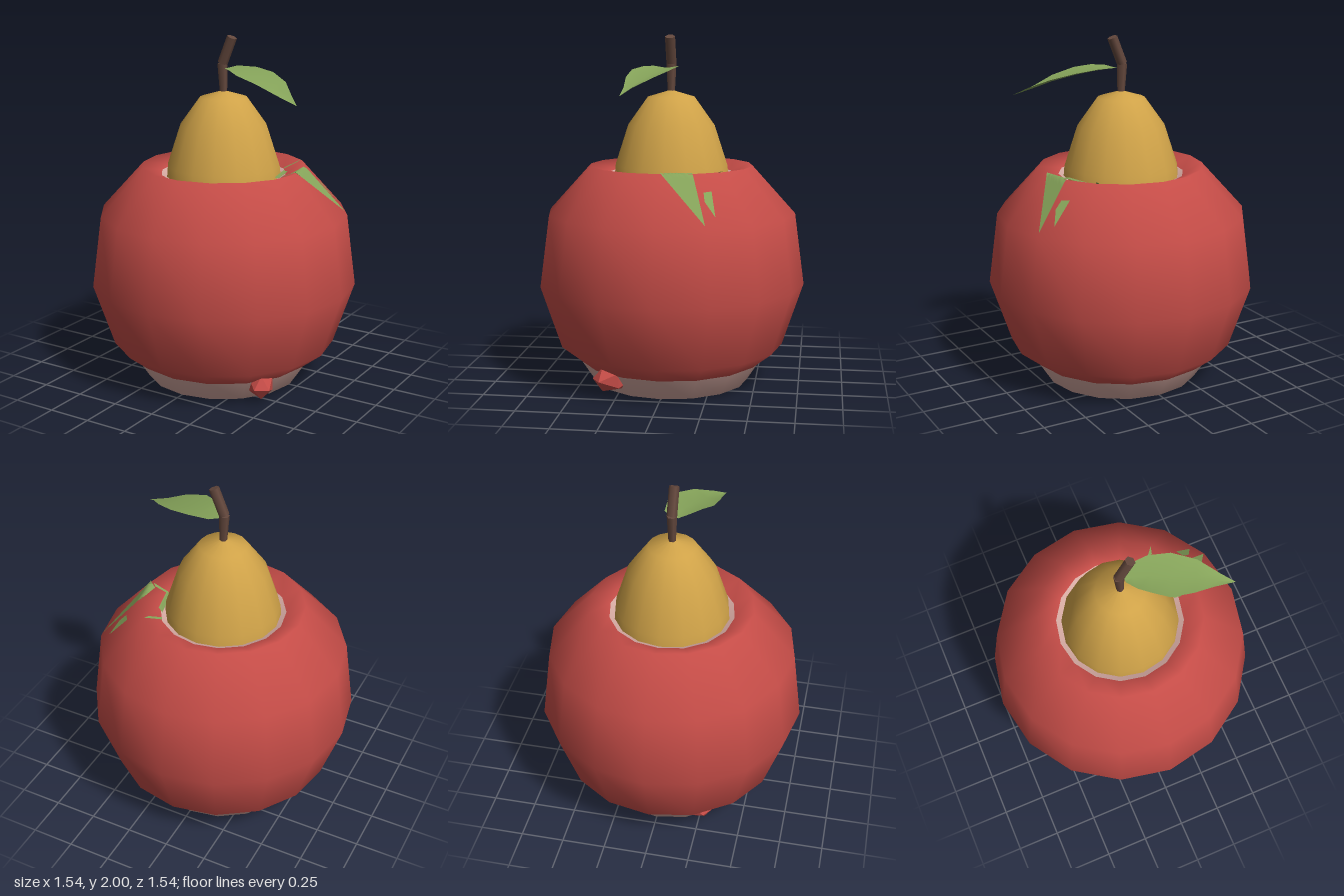
import * as THREE from 'three';

const mat = (name, color, double) => {
  const m = new THREE.MeshStandardMaterial({ color });
  m.name = name;
  if (double) m.side = THREE.DoubleSide;
  return m;
};

// Outer profile of the red fruit, from the lower edge to the top dimple
const APPLE = [[0.53, 0.125], [0.65, 0.22], [0.77, 0.58], [0.715, 0.99], [0.47, 1.26], [0.36, 1.215]];
const SIDES = 16;

// Height of the upper red surface at a point seen from above
function topHeight(x, z) {
  const step = (2 * Math.PI) / SIDES;
  const a = Math.atan2(x, z);
  const mid = (Math.floor(a / step) + 0.5) * step;
  const r = (Math.hypot(x, z) * Math.cos(a - mid)) / Math.cos(step / 2);
  const [outer, rim, inner] = APPLE.slice(3);
  const [p, q] = r > rim[0] ? [outer, rim] : [rim, inner];
  const t = Math.max(0, Math.min(1, (r - p[0]) / (q[0] - p[0])));
  return p[1] + (q[1] - p[1]) * t;
}

// Double-sided sheet from a rule giving a point for (u, v)
function sheet(nu, nv, rule) {
  const pos = [], index = [];
  for (let i = 0; i <= nu; i++) for (let j = 0; j <= nv; j++) pos.push(...rule(i / nu, j / nv));
  for (let i = 0; i < nu; i++) for (let j = 0; j < nv; j++) {
    const a = i * (nv + 1) + j, b = a + nv + 1;
    index.push(a, a + 1, b, b, a + 1, b + 1);
  }
  const g = new THREE.BufferGeometry();
  g.setAttribute('position', new THREE.Float32BufferAttribute(pos, 3));
  g.setIndex(index);
  g.computeVertexNormals();
  return g;
}

export function createModel() {
  const model = new THREE.Group();
  const red = mat('apple red', 0xc44c47);
  const pale = mat('pale pink', 0xd6aaa2);
  const yellow = mat('pear yellow', 0xcfa248);
  const brown = mat('stem brown', 0x64483d);
  const green = mat('leaf green', 0x86a45a, true);
  const cream = mat('cream', 0xe3d9c0);

  const add = (name, geo, material, x = 0, y = 0, z = 0) => {
    const m = new THREE.Mesh(geo, material);
    m.name = name;
    m.position.set(x, y, z);
    model.add(m);
    return m;
  };
  const lathe = (pts) => new THREE.LatheGeometry(pts.map(([r, y]) => new THREE.Vector2(r, y)), SIDES);

  // Fruit bodies
  add('apple', lathe(APPLE), red);
  add('dimple', lathe([[0.36, 1.215], [0.28, 1.18]]), pale);
  add('base', lathe([[0.365, 0], [0.45, 0], [0.535, 0.13]]), pale);
  add('pear', lathe([[0.335, 1.15], [0.325, 1.26], [0.25, 1.49], [0.135, 1.65], [0, 1.69]]), yellow);

  // Underside: red ring, green floor and cream slices
  const ring = new THREE.RingGeometry(0.33, 0.37, SIDES);
  add('baseRing', ring.rotateX(Math.PI / 2), red, 0, 0.002, 0);
  const floor = new THREE.CircleGeometry(0.345, SIDES);
  add('baseFloor', floor.rotateX(Math.PI / 2), green, 0, 0.03, 0);
  for (const [x, z] of [[0.2, -0.12], [0, 0.12], [-0.15, -0.12]]) {
    add('slice', new THREE.CylinderGeometry(0.13, 0.13, 0.04, 20), cream, x, 0.022, z);
  }

  // Small lumps around and beneath the base
  const lump = (name, material, p, s, turn) => {
    const g = new THREE.IcosahedronGeometry(1, 0).scale(...s);
    add(name, g, material, ...p).rotation.y = turn;
  };
  lump('baseLump', red, [0.41, 0.1, 0.27], [0.13, 0.08, 0.08], -0.98 + Math.PI);
  lump('baseLump', red, [-0.41, 0.11, 0.25], [0.09, 0.065, 0.08], 0.98);
  lump('underLump', red, [-0.19, 0.03, 0.095], [0.07, 0.028, 0.04], 0.4);
  lump('underLump', red, [0.24, 0.03, 0.07], [0.06, 0.028, 0.04], 1.2);
  lump('underSeed', brown, [0.14, 0.03, 0.22], [0.05, 0.028, 0.035], 0.7);

  // Bent six-sided stem
  const stem = [[0, 1.66, 0.02], [-0.007, 1.84, 0.029], [0.055, 1.99, 0.029]];
  for (let i = 0; i < 2; i++) {
    const [x0, y0, r0] = stem[i], [x1, y1, r1] = stem[i + 1];
    const len = Math.hypot(x1 - x0, y1 - y0);
    const g = new THREE.CylinderGeometry(r1, r0, len, 6);
    add('stem', g, brown, (x0 + x1) / 2, (y0 + y1) / 2, 0).rotation.z = -Math.atan2(x1 - x0, y1 - y0);
  }

  // Drooping leaf: back edge x,z then front edge x,z, and height of each section
  const leaf = [
    [0.02, 0.0, 0.02, 0.03, 1.815], [0.06, -0.055, 0.06, 0.09, 1.822], [0.18, -0.062, 0.12, 0.14, 1.818],
    [0.3, -0.035, 0.2, 0.193, 1.8], [0.42, 0.04, 0.33, 0.205, 1.765], [0.51, 0.14, 0.45, 0.197, 1.718],
    [0.575, 0.2, 0.57, 0.2, 1.68],
  ];
  add('leaf', sheet(6, 2, (u, v) => {
    const [x0, z0, x1, z1, y] = leaf[Math.round(u * 6)];
    const fold = Math.sin(Math.PI * u) * 0.016 * (v === 0.5 ? -1 : 0.6);
    return [x0 + (x1 - x0) * v, y + fold, z0 + (z1 - z0) * v];
  }), green);

  // Fragments of a second leaf lying on the shoulder, as corners x,z
  const patches = [
    [[0.43, -0.17], [0.65, -0.265], [0.47, 0], [0.425, -0.03]],
    [[0.29, -0.19], [0.33, -0.16], [0.365, 0], [0.335, 0]],
    [[0.36, -0.01], [0.43, -0.02], [0.45, 0], [0.36, 0.005]],
    [[0.26, -0.25], [0.33, -0.33], [0.32, -0.29], [0.27, -0.23]],
    [[0.47, -0.28], [0.58, -0.312], [0.54, -0.25], [0.5, -0.24]],
  ];
  for (const [a, b, c, d] of patches) {
    add('shoulderLeaf', sheet(10, 10, (u, v) => {
      const mix = (k) => (a[k] * (1 - u) + b[k] * u) * (1 - v) + (d[k] * (1 - u) + c[k] * u) * v;
      const x = mix(0), z = mix(1);
      return [x, topHeight(x, z) + 0.008, z];
    }), green);
  }
  return model;
}
